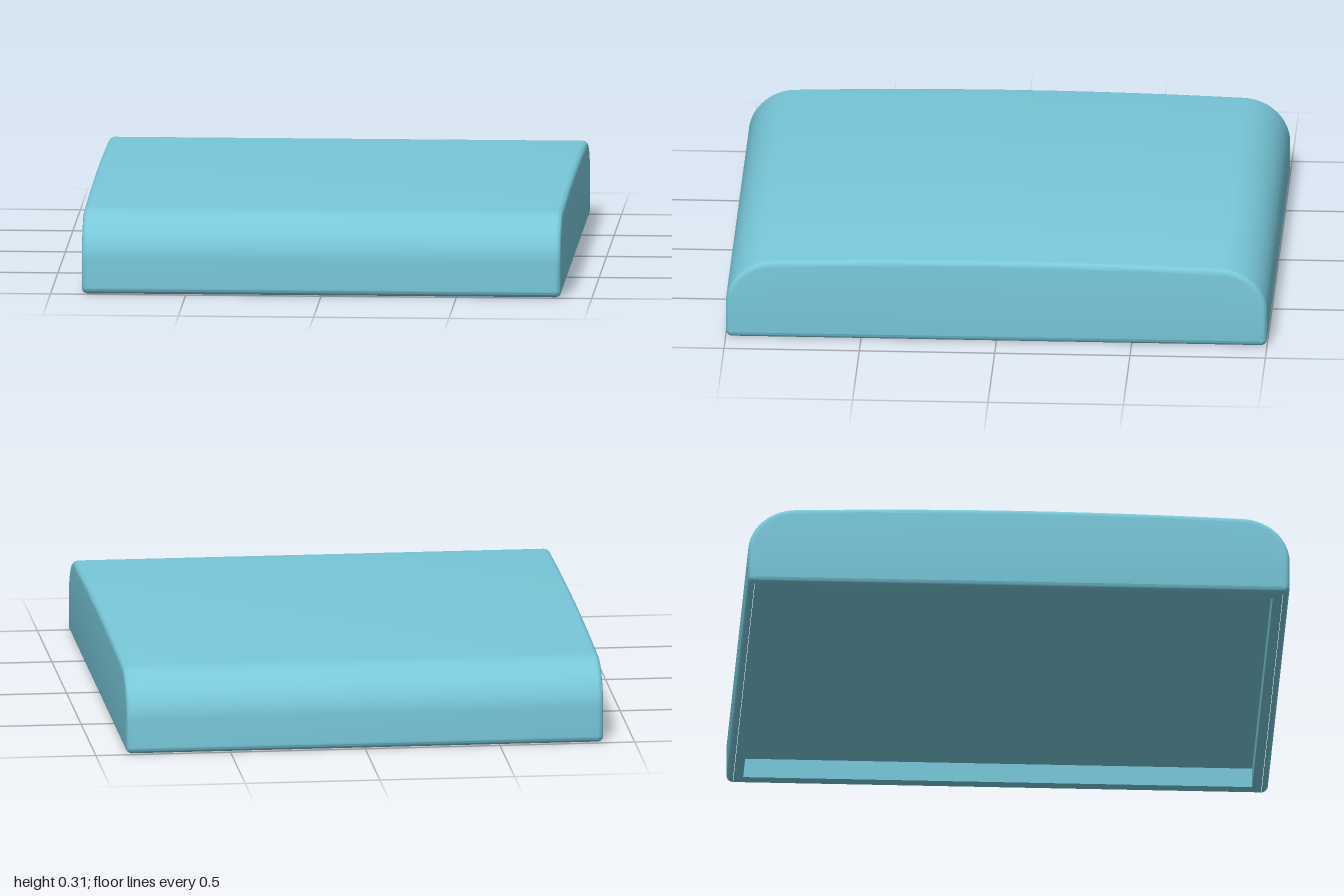
import * as THREE from 'three';
import { toCreasedNormals } from 'three/addons/utils/BufferGeometryUtils.js';

const HALF_W = 0.885, BEVEL = 0.02, CORNER = 0.025;
const WALL = 0.06, DEPTH = 0.075;

// Drops every triangle lying flat on y = 0, leaving the underside open.
function openBottom(geometry) {
  const p = geometry.index ? geometry.toNonIndexed().attributes.position : geometry.attributes.position;
  const kept = [];
  for (let i = 0; i < p.count; i += 3) {
    if ([0, 1, 2].every((k) => Math.abs(p.getY(i + k)) < 1e-4)) continue;
    for (let k = 0; k < 3; k++) kept.push(p.getX(i + k), p.getY(i + k), p.getZ(i + k));
  }
  const open = new THREE.BufferGeometry();
  open.setAttribute('position', new THREE.Float32BufferAttribute(kept, 3));
  return toCreasedNormals(open, 0.6);
}

function rectangle(path, hx, hy) {
  path.moveTo(-hx, -hy);
  path.lineTo(hx, -hy);
  path.lineTo(hx, hy);
  path.lineTo(-hx, hy);
  path.closePath();
  return path;
}

export function createModel() {
  const group = new THREE.Group();
  group.name = 'lid';
  const material = new THREE.MeshStandardMaterial({ color: 0x78c8da });
  const add = (name, geometry) => {
    const mesh = new THREE.Mesh(geometry, material);
    mesh.name = name;
    group.add(mesh);
  };

  // Shell: side profile with large rounded shoulders and a slightly crowned top
  const profile = new THREE.Shape();
  profile.moveTo(-1 + CORNER, 0);
  profile.lineTo(1 - CORNER, 0);
  profile.absarc(1 - CORNER, CORNER, CORNER, -Math.PI / 2, 0, false);
  profile.lineTo(1, 0.13);
  profile.absellipse(0.82, 0.13, 0.18, 0.17, 0, Math.PI / 2, false, 0);
  profile.quadraticCurveTo(0, 0.33, -0.82, 0.3);
  profile.absellipse(-0.82, 0.13, 0.18, 0.17, Math.PI / 2, Math.PI, false, 0);
  profile.lineTo(-1, CORNER);
  profile.absarc(-1 + CORNER, CORNER, CORNER, Math.PI, Math.PI * 1.5, false);
  const length = 2 * (HALF_W - BEVEL);
  const shell = new THREE.ExtrudeGeometry(profile, {
    depth: length, curveSegments: 12,
    bevelEnabled: true, bevelThickness: BEVEL, bevelSize: BEVEL, bevelOffset: -BEVEL, bevelSegments: 4,
  });
  shell.translate(0, 0, -length / 2).rotateY(Math.PI / 2);
  add('shell', openBottom(shell));

  // Rim: flat frame on the underside
  const holeX = HALF_W - WALL, holeZ = 1 - WALL;
  const frame = rectangle(new THREE.Shape(), HALF_W - BEVEL, 1 - CORNER);
  frame.holes.push(rectangle(new THREE.Path(), holeX, holeZ));
  add('bottomRim', new THREE.ShapeGeometry(frame).rotateX(Math.PI / 2));

  // Recess: inside-out box, open below
  const recess = new THREE.BoxGeometry(2 * holeX, DEPTH, 2 * holeZ);
  recess.translate(0, DEPTH / 2, 0).scale(-1, 1, 1);
  add('bottomRecess', openBottom(recess));

  return group;
}
